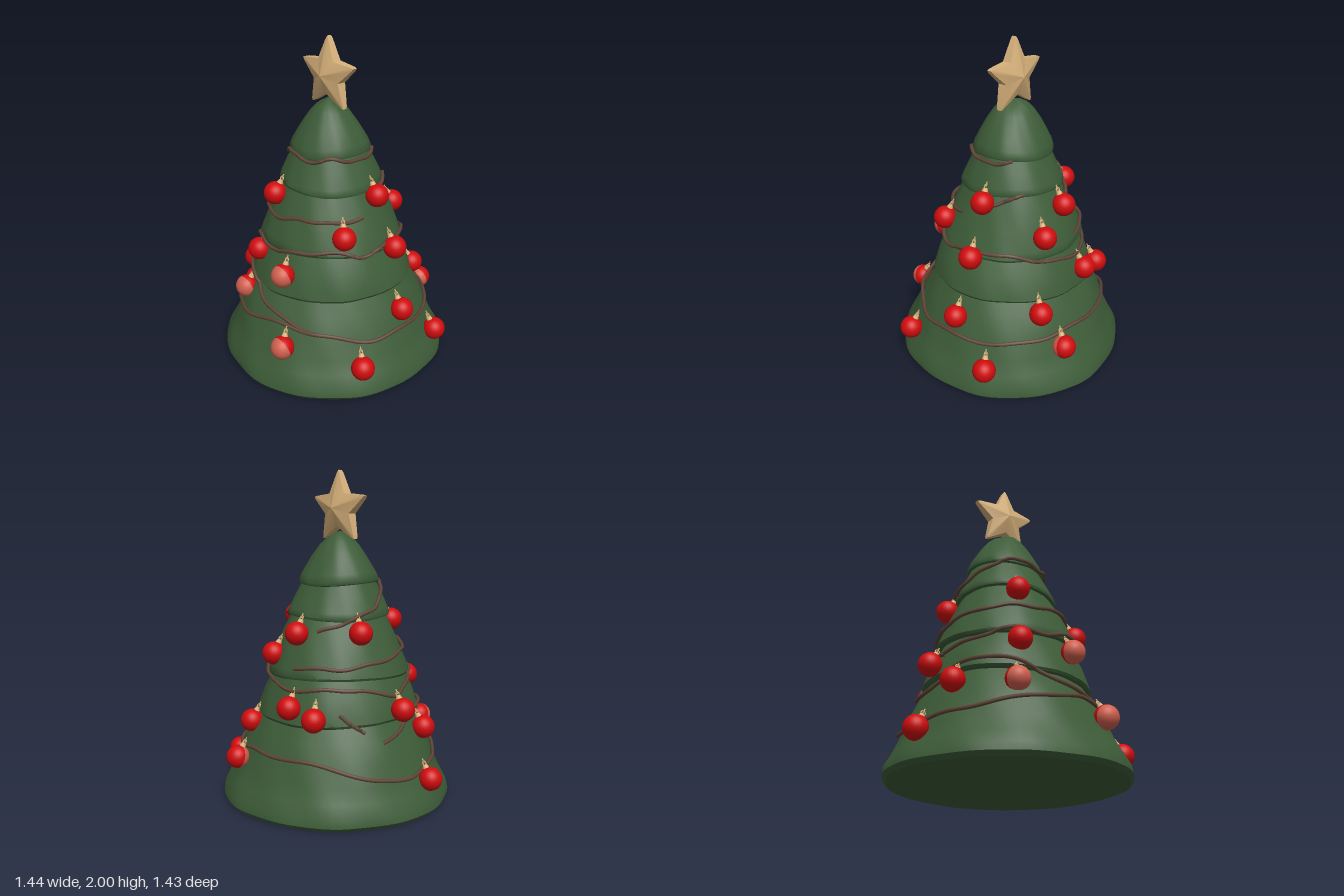
import * as THREE from 'three';
import { toCreasedNormals } from 'three/addons/utils/BufferGeometryUtils.js';

const mat = (name, color, extra = {}) => {
  const m = new THREE.MeshStandardMaterial({ color, ...extra });
  m.name = name;
  return m;
};

// Tree outline, [radius, height]; each tier overhangs the one below
const PROFILE = [
  [0, 0], [0.69, 0], [0.712, 0.025], [0.705, 0.07], [0.665, 0.14], [0.622, 0.23], [0.578, 0.35], [0.525, 0.45], [0.475, 0.53],
  [0.493, 0.535], [0.502, 0.55], [0.492, 0.585], [0.46, 0.68], [0.405, 0.78],
  [0.43, 0.785], [0.437, 0.8], [0.425, 0.835], [0.38, 0.94], [0.335, 1.04], [0.29, 1.125],
  [0.307, 1.13], [0.312, 1.145], [0.3, 1.175], [0.265, 1.25], [0.228, 1.325],
  [0.241, 1.33], [0.245, 1.345], [0.23, 1.385], [0.2, 1.44], [0.165, 1.5], [0.12, 1.565], [0.08, 1.605], [0.035, 1.627], [0, 1.632],
];

// Hand-modelled unevenness of the tree
const lean = (y) => 0.01 - 0.018 * y;
const swell = (a, y) => 1 + 0.009 * Math.sin(3 * a + 5 * y) + 0.006 * Math.sin(7 * a - 9 * y) + 0.004 * Math.sin(13 * a + 14 * y);
const sag = (a, y) => 0.009 * Math.sin(2 * a + 8 * y) * Math.min(1, y * 2);

function treeRadius(y) {
  for (let i = 2; i < PROFILE.length; i++) {
    const [r0, y0] = PROFILE[i - 1], [r1, y1] = PROFILE[i];
    if (y <= y1) return r0 + (r1 - r0) * (y - y0) / (y1 - y0);
  }
  return 0;
}

function treeGeometry() {
  const g = new THREE.LatheGeometry(PROFILE.map(([r, y]) => new THREE.Vector2(r, y)), 72);
  const p = g.attributes.position;
  for (let i = 0; i < p.count; i++) {
    const x = p.getX(i), y = p.getY(i), z = p.getZ(i), a = Math.atan2(x, z), s = swell(a, y);
    p.setXYZ(i, x * s + lean(y), y + sag(a, y), z * s);
  }
  return toCreasedNormals(g, 0.75);
}

// Vine laid on the tree: list of [angle in degrees from the front, height]
function vineGeometry(points) {
  const curve = new THREE.CatmullRomCurve3(points.map(([d, y]) => new THREE.Vector3(d, y, 0)));
  const n = points.length * 7, path = [];
  for (let i = 0; i <= n; i++) {
    const q = curve.getPoint(i / n), a = THREE.MathUtils.degToRad(q.x);
    const y = q.y + 0.006 * Math.sin(a * 9);
    const r = Math.max(treeRadius(y - 0.015), treeRadius(y), treeRadius(y + 0.015)) * swell(a, y) + 0.008;
    path.push(new THREE.Vector3(r * Math.sin(a) + lean(y), y, r * Math.cos(a)));
  }
  return new THREE.TubeGeometry(new THREE.CatmullRomCurve3(path), n * 2, 0.0115, 7);
}

// Five-pointed star, raised in the middle on both sides, with blunt tips
function starGeometry() {
  const ring = [];
  for (let i = 0; i < 5; i++) {
    const a = i * Math.PI * 0.4;
    for (const [r, da, t] of [[0.21, -0.05, 0.018], [0.226, 0, 0.014], [0.21, 0.05, 0.018], [0.108, Math.PI / 5, 0.03]])
      ring.push([r * Math.sin(a + da), r * Math.cos(a + da), t]);
  }
  const pos = [];
  ring.forEach(([x, y, t], i) => {
    const [u, v, w] = ring[(i + 1) % ring.length];
    pos.push(0, 0, 0.077, u, v, w, x, y, t);
    pos.push(0, 0, -0.077, x, y, -t, u, v, -w);
    pos.push(x, y, t, u, v, w, u, v, -w, x, y, t, u, v, -w, x, y, -t);
  });
  const g = new THREE.BufferGeometry();
  g.setAttribute('position', new THREE.Float32BufferAttribute(pos, 3));
  return toCreasedNormals(g, 0.4);
}

// Ornament centres; the fourth value marks a two-tone ball
const BAUBLES = [
  [-0.345, 1.06, -0.14], [-0.145, 1.08, 0.33], [0.33, 1.1, -0.06], [-0.045, 1.05, -0.37],
  [0.355, 0.92, 0.23], [0.15, 0.91, -0.388], [0.465, 0.8, -0.083],
  [-0.2, 0.715, 0.425], [0.113, 0.68, 0.497, 1], [-0.535, 0.615, 0.02], [-0.11, 0.635, -0.49], [-0.285, 0.59, -0.455],
  [-0.51, 0.465, 0.235], [-0.265, 0.445, 0.49, 1], [0.57, 0.43, -0.05], [0.275, 0.48, -0.468],
  [0.232, 0.29, 0.61, 1], [0.23, 0.29, -0.612, 1], [-0.66, 0.2, 0.13], [0.612, 0.2, 0.317], [0.615, 0.19, -0.318],
];

const VINES = [
  [[-78, 0.25], [-52, 0.29], [-12, 0.36], [13, 0.39], [41, 0.37], [66, 0.32], [97, 0.33], [120, 0.32], [145, 0.34], [165, 0.35], [195, 0.36], [225, 0.33], [250, 0.25], [268, 0.24], [285, 0.26]],
  [[-105, 0.44], [-85, 0.5], [-68, 0.57], [-50, 0.6], [-25, 0.56], [0, 0.46], [25, 0.4], [40, 0.37]],
  [[-85, 0.69], [-60, 0.74], [-27, 0.79], [0, 0.78], [22, 0.82], [56, 0.83], [72, 0.8], [100, 0.83], [130, 0.82], [165, 0.75], [200, 0.73], [225, 0.75], [255, 0.72], [278, 0.68]],
  [[-170, 0.86], [-120, 0.87], [-80, 0.91], [-30, 0.96], [0, 0.97], [25, 1.0], [55, 0.99], [78, 1.01]],
  [[102, 1.08], [122, 1.11], [142, 1.16]],
  [[205, 1.06], [235, 1.12], [270, 1.2], [288, 1.25], [320, 1.32], [352, 1.345], [375, 1.31], [405, 1.34], [450, 1.31], [490, 1.335]],
  [[228, 0.62], [236, 0.56], [245, 0.5]],
];

export function createModel() {
  const green = mat('tree green', 0x3d5c38);
  const gold = mat('pale gold', 0xd6b07a);
  const red = mat('ornament red', 0xd00c0e);
  const coral = mat('ornament coral', 0xd2604f);
  const brown = mat('vine brown', 0x5e4436);
  const model = new THREE.Group();
  const add = (parent, name, geometry, material) => {
    const m = new THREE.Mesh(geometry, material);
    m.name = name;
    parent.add(m);
    return m;
  };

  add(model, 'tree', treeGeometry(), green);
  add(model, 'star', starGeometry(), gold).position.set(-0.023, 1.774, 0);

  const vines = new THREE.Group();
  vines.name = 'garland';
  VINES.forEach((v) => add(vines, 'vine', vineGeometry(v), brown));
  model.add(vines);

  const R = 0.07, up = new THREE.Vector3(0, 1, 0);
  const ball = new THREE.SphereGeometry(R, 24, 16);
  const half = new THREE.SphereGeometry(R, 24, 8, 0, Math.PI * 2, 0, Math.PI / 2);
  const cap = new THREE.CylinderGeometry(0.014, 0.02, 0.022, 12);
  const loop = new THREE.TorusGeometry(0.013, 0.004, 6, 12);
  const wire = new THREE.CylinderGeometry(0.004, 0.004, 0.03, 6);
  for (const [x, y, z, twoTone] of BAUBLES) {
    const ornament = new THREE.Group();
    ornament.name = 'ornament';
    ornament.position.set(x, y, z);
    if (twoTone) {
      // Light half faces forward and a little down
      const front = new THREE.Vector3(0, -0.3, 1).normalize();
      add(ornament, 'lightHalf', half, coral).quaternion.setFromUnitVectors(up, front);
      add(ornament, 'redHalf', half, red).quaternion.setFromUnitVectors(up, front.clone().negate());
    } else add(ornament, 'ball', ball, red);
    // Hanger tilts toward the trunk
    const hanger = new THREE.Group();
    hanger.name = 'hanger';
    const len = Math.hypot(x, z);
    hanger.quaternion.setFromUnitVectors(up, new THREE.Vector3(-x / len * 0.5, 1, -z / len * 0.5).normalize());
    add(hanger, 'cap', cap, gold).position.y = R + 0.007;
    add(hanger, 'loop', loop, gold).position.y = R + 0.028;
    add(hanger, 'wire', wire, gold).position.y = R + 0.042;
    ornament.add(hanger);
    model.add(ornament);
  }
  return model;
}
